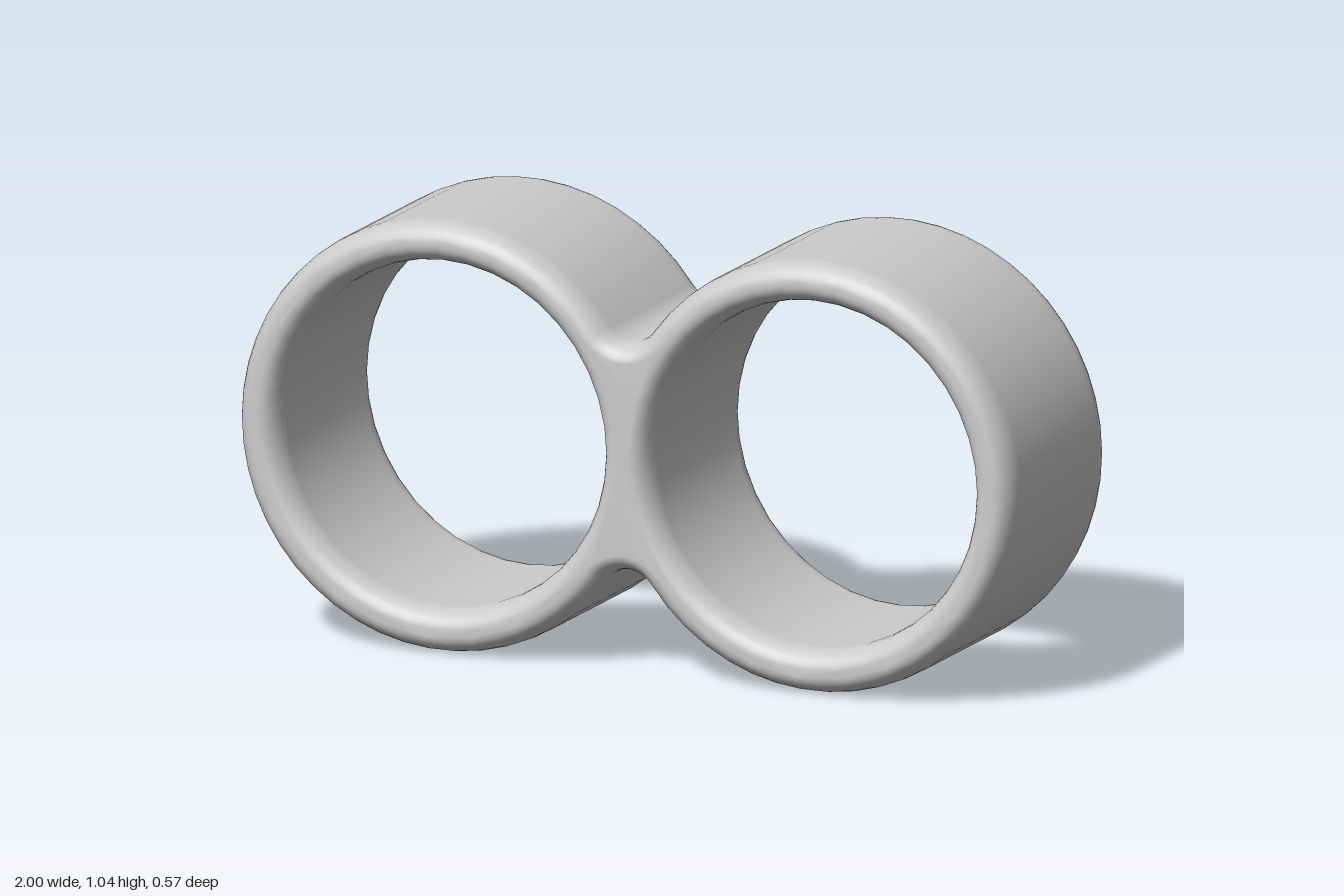
import * as THREE from 'three';
import { mergeVertices } from 'three/addons/utils/BufferGeometryUtils.js';

const CX = 0.48, CY = 0.523;        // ring centres at (+-CX, CY)
const OUTER = 0.52, INNER = 0.418;  // ring radii
const DEPTH = 0.57;                 // size along z
const NECK = 0.275;                 // half height of the waist between the rings

// Two rings blended into one figure-eight outline with small concave fillets
function figureEight() {
  const k = OUTER - NECK;
  const h = (CX * CX - k * k) / (2 * k);  // fillet centre above the middle
  const f = h - NECK;                     // fillet radius
  const a = Math.atan2(h, -CX);
  const shape = new THREE.Shape();
  shape.absarc(CX, CY, OUTER, -a, a, false);
  shape.absarc(0, CY + h, f, a - Math.PI, -a, true);
  shape.absarc(-CX, CY, OUTER, Math.PI - a, Math.PI + a, false);
  shape.absarc(0, CY - h, f, a, Math.PI - a, true);
  for (const side of [1, -1]) {
    const hole = new THREE.Path();
    hole.absarc(side * (CX - 0.002), CY + 0.004, INNER, 0, Math.PI * 2, true);
    shape.holes.push(hole);
  }
  return shape;
}

export function createModel() {
  const model = new THREE.Group();
  const grey = new THREE.MeshStandardMaterial({ color: 0xcccccc });
  grey.name = 'lightGrey';

  // Soft rounded rims on both ends
  const bevelZ = 0.07, bevelR = 0.043;
  let geometry = new THREE.ExtrudeGeometry(figureEight(), {
    depth: DEPTH - 2 * bevelZ,
    curveSegments: 20,
    bevelEnabled: true,
    bevelThickness: bevelZ,
    bevelSize: bevelR,
    bevelOffset: -bevelR,
    bevelSegments: 6,
  });
  geometry.translate(0, 0, -DEPTH / 2 + bevelZ);

  // Weld the surface so that it shades smoothly
  geometry.deleteAttribute('uv');
  geometry.deleteAttribute('normal');
  geometry.clearGroups();
  geometry = mergeVertices(geometry, 1e-4);
  geometry.computeVertexNormals();

  const rings = new THREE.Mesh(geometry, grey);
  rings.name = 'doubleRing';
  model.add(rings);
  return model;
}
